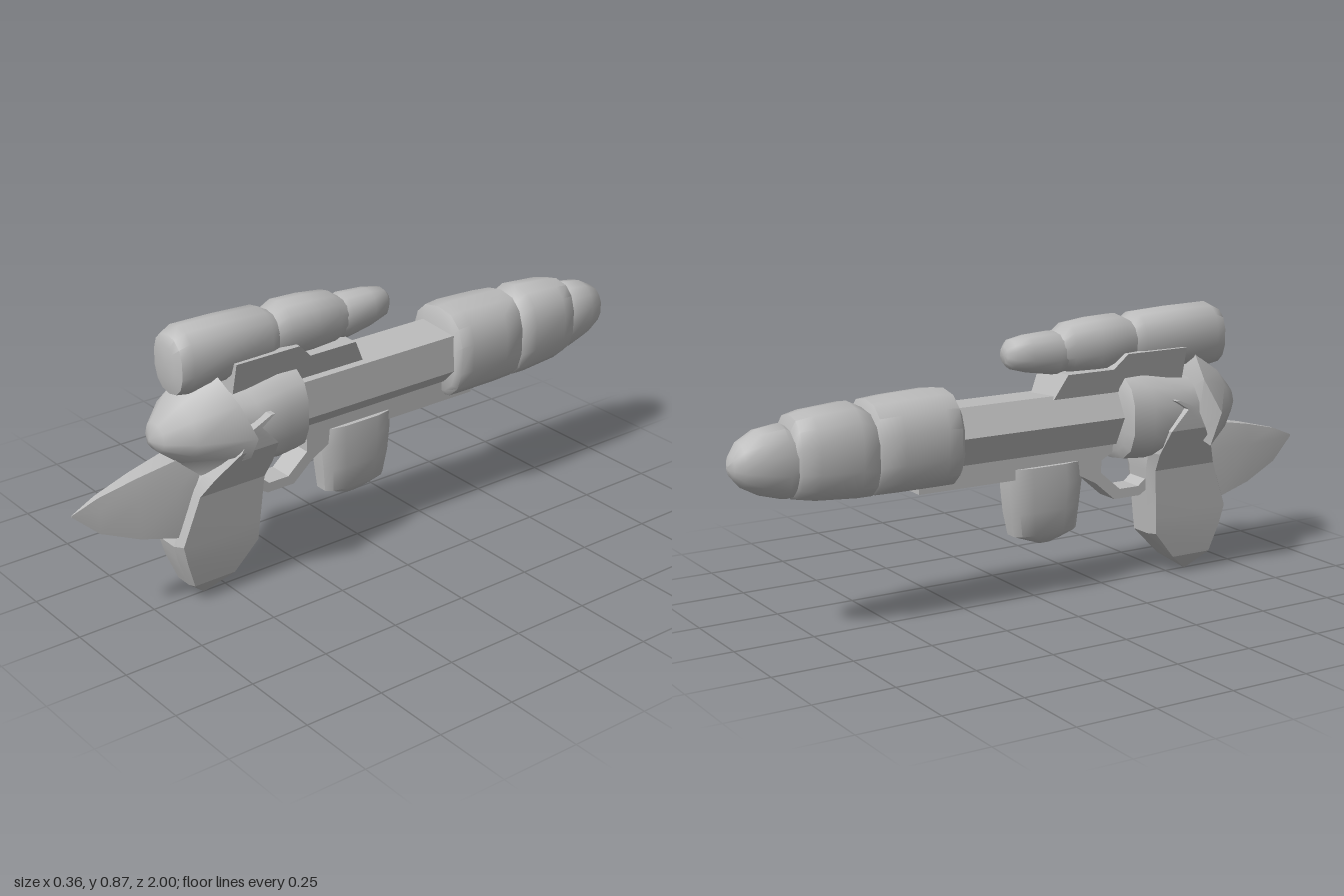
import * as THREE from 'three';
import { toCreasedNormals } from 'three/addons/utils/BufferGeometryUtils.js';

const grey = new THREE.MeshStandardMaterial({ color: 0xbcbcbc });
grey.name = 'plain grey';

// Skin a list of equal-length rings of [x, y, z] points and close both ends.
function loft(rings, crease) {
  const n = rings[0].length, pos = rings.flat(2);
  let idx = [];
  for (let r = 0; r < rings.length - 1; r++) {
    for (let i = 0; i < n; i++) {
      const a = r * n + i, b = r * n + (i + 1) % n;
      idx.push(a, b, b + n, a, b + n, a + n);
    }
  }
  [0, rings.length - 1].forEach((r, end) => {
    const c = pos.length / 3;
    for (let k = 0; k < 3; k++) pos.push(rings[r].reduce((s, p) => s + p[k], 0) / n);
    for (let i = 0; i < n; i++) {
      const a = r * n + i, b = r * n + (i + 1) % n;
      if (end) idx.push(c, a, b); else idx.push(c, b, a);
    }
  });
  // Turn the faces outward if the enclosed volume is negative.
  const v = i => new THREE.Vector3().fromArray(pos, i * 3);
  let volume = 0;
  for (let i = 0; i < idx.length; i += 3) {
    volume += v(idx[i]).dot(v(idx[i + 1]).cross(v(idx[i + 2])));
  }
  if (volume < 0) idx.reverse();
  const g = new THREE.BufferGeometry();
  g.setAttribute('position', new THREE.Float32BufferAttribute(pos, 3));
  g.setIndex(idx);
  return toCreasedNormals(g, crease);
}

// Rounded section: n points of a superellipse as [u, v] pairs.
function round(hu, hv, n, power) {
  const f = t => Math.sign(t) * Math.pow(Math.abs(t), power);
  return Array.from({ length: n }, (_, i) => {
    const a = (i + 0.5) / n * Math.PI * 2;
    return [hu * f(Math.cos(a)), hv * f(Math.sin(a))];
  });
}

// Rounded body along z from stations [z, yLow, yHigh, halfWidth].
function podGeometry(stations, power = 0.8, n = 14) {
  return loft(stations.map(([z, y0, y1, w]) =>
    round(w, (y1 - y0) / 2, n, power).map(([x, y]) => [x, y + (y0 + y1) / 2, z])), 0.85);
}

// Side outline of [z, y] points, extruded across the width.
function slab(points, halfWidth) {
  const shape = new THREE.Shape(points.map(p => new THREE.Vector2(...p)));
  const g = new THREE.ExtrudeGeometry(shape, { depth: halfWidth * 2, bevelEnabled: false });
  return g.translate(0, 0, -halfWidth).rotateY(-Math.PI / 2);
}

export function createModel() {
  const model = new THREE.Group();
  model.name = 'toyBlaster';
  const add = (name, geometry) => {
    const mesh = new THREE.Mesh(geometry, grey);
    mesh.name = name;
    model.add(mesh);
  };

  // Long sleeve in three overlapping, shrinking sections
  add('sleeveInner', podGeometry([
    [-0.30, 0.42, 0.66, 0.105], [-0.315, 0.40, 0.69, 0.12], [-0.36, 0.40, 0.695, 0.123],
    [-0.50, 0.40, 0.69, 0.12], [-0.57, 0.40, 0.685, 0.11], [-0.59, 0.42, 0.65, 0.09]]));
  add('sleeveMiddle', podGeometry([
    [-0.56, 0.42, 0.64, 0.09], [-0.58, 0.40, 0.66, 0.108], [-0.63, 0.40, 0.685, 0.113],
    [-0.76, 0.41, 0.675, 0.105], [-0.81, 0.42, 0.665, 0.09], [-0.83, 0.44, 0.62, 0.07]]));
  add('sleeveTip', podGeometry([
    [-0.80, 0.43, 0.62, 0.08], [-0.84, 0.425, 0.645, 0.085], [-0.91, 0.445, 0.635, 0.075],
    [-0.965, 0.475, 0.605, 0.055], [-0.99, 0.505, 0.57, 0.03], [-1.0, 0.53, 0.545, 0.008]], 0.9));

  // Faceted receiver bar
  const bar = [[0.09, 0.625], [-0.055, 0.635], [-0.10, 0.55], [-0.055, 0.46], [0.05, 0.46], [0.098, 0.51]];
  add('receiver', loft([0.30, -0.33].map(z => bar.map(([x, y]) => [x, y, z])), 0.1));

  // Underside rail that runs into the trigger guard
  add('railAndGuard', slab([
    [0.40, 0.33], [0.39, 0.295], [0.365, 0.28], [0.27, 0.28], [0.20, 0.34], [0.11, 0.388],
    [-0.42, 0.388], [-0.42, 0.41], [-0.31, 0.47], [0.265, 0.47], [0.26, 0.43], [0.22, 0.41],
    [0.22, 0.37], [0.29, 0.31], [0.36, 0.31], [0.385, 0.33]], 0.04));

  // Magazine below the receiver, stations [y, zLow, zHigh, halfWidth]
  const magazine = [[0.42, -0.11, 0.155, 0.055], [0.36, -0.108, 0.16, 0.058], [0.28, -0.10, 0.15, 0.055],
    [0.205, -0.085, 0.142, 0.045], [0.185, -0.03, 0.09, 0.03], [0.17, 0.01, 0.055, 0.012]];
  add('magazine', loft(magazine.map(([y, z0, z1, w]) =>
    round(w, (z1 - z0) / 2, 12, 0.6).map(([x, z]) => [x, y, z + (z0 + z1) / 2])), 0.7));

  // Bulging body behind the nose shell
  add('body', podGeometry([
    [0.265, 0.43, 0.65, 0.11], [0.28, 0.405, 0.68, 0.135], [0.35, 0.40, 0.68, 0.145],
    [0.45, 0.41, 0.66, 0.142], [0.56, 0.43, 0.65, 0.12]], 0.75));

  // Pointed nose shell with an uneven rim
  const rim = [[0.07, 0.715, 0.55], [0.15, 0.65, 0.53], [0.18, 0.545, 0.49], [0.155, 0.48, 0.50],
    [0.06, 0.42, 0.61], [-0.06, 0.42, 0.61], [-0.145, 0.435, 0.56], [-0.18, 0.545, 0.575],
    [-0.145, 0.65, 0.53], [-0.07, 0.715, 0.55]];
  const shrink = (s, z, mix) => rim.map(p => [p[0] * s, 0.545 + (p[1] - 0.545) * s, p[2] + (z - p[2]) * mix]);
  add('noseShell', loft([shrink(0.7, 0.52, 0.8), rim, shrink(0.62, 0.675, 0.85),
    shrink(0.28, 0.72, 1), shrink(0.02, 0.738, 1)], 0.8));

  // Leaf-shaped grip that flares around the body, stations [y, zLow, zHigh, halfWidth]
  const grip = [[0.002, 0.572, 0.577, 0.001], [0.06, 0.485, 0.645, 0.047], [0.15, 0.40, 0.682, 0.06],
    [0.21, 0.395, 0.698, 0.065], [0.36, 0.385, 0.64, 0.075], [0.42, 0.38, 0.605, 0.108],
    [0.50, 0.395, 0.54, 0.155], [0.565, 0.46, 0.50, 0.16], [0.595, 0.415, 0.43, 0.158]];
  add('grip', loft(grip.map(([y, z0, z1, w]) => {
    const d = (z1 - z0) * 0.06;
    return [[w, y, z0 + d], [w, y, z1 - d], [w * 0.6, y, z1], [-w * 0.6, y, z1],
      [-w, y, z1 - d], [-w, y, z0 + d], [-w * 0.6, y, z0], [w * 0.6, y, z0]];
  }), 0.3));

  // Front fin tapering to a point, stations [z, yTop, yBottom, topWidth, midWidth, bottomWidth]
  const fin = [[0.56, 0.48, 0.26, 0.04, 0.055, 0.046], [0.68, 0.478, 0.235, 0.036, 0.05, 0.046],
    [0.80, 0.455, 0.265, 0.024, 0.034, 0.032], [0.92, 0.425, 0.315, 0.01, 0.016, 0.014],
    [1.0, 0.392, 0.388, 0.001, 0.001, 0.001]];
  add('frontFin', loft(fin.map(([z, t, b, wt, wm, wb]) => {
    const m = b + (t - b) * 0.65;
    return [[wt, t, z], [wm, m, z], [wb, b, z], [-wb, b, z], [-wm, m, z], [-wt, t, z]];
  }), 0.3));

  // Scope saddle, slightly wider toward its top
  const mount = slab([[0.50, 0.745], [0.28, 0.745], [0.235, 0.70], [0.07, 0.70], [0.03, 0.625], [0.50, 0.625]], 1);
  const p = mount.attributes.position;
  for (let i = 0; i < p.count; i++) p.setX(i, p.getX(i) * (0.065 + (p.getY(i) - 0.625) * 0.24));
  mount.computeVertexNormals();
  add('scopeMount', mount);

  // Scope in three stepped sections
  add('scopeFront', podGeometry([
    [0.675, 0.71, 0.82, 0.045], [0.665, 0.67, 0.85, 0.073], [0.63, 0.665, 0.867, 0.083],
    [0.50, 0.675, 0.865, 0.083], [0.36, 0.685, 0.858, 0.08], [0.32, 0.70, 0.835, 0.065]], 0.85));
  add('scopeMiddle', podGeometry([
    [0.35, 0.70, 0.83, 0.065], [0.29, 0.69, 0.858, 0.08], [0.20, 0.685, 0.855, 0.08],
    [0.11, 0.69, 0.845, 0.07], [0.06, 0.71, 0.81, 0.055]], 0.85));
  add('scopeRear', podGeometry([
    [0.10, 0.70, 0.81, 0.058], [0.06, 0.69, 0.825, 0.064], [-0.03, 0.705, 0.82, 0.055],
    [-0.085, 0.72, 0.81, 0.043], [-0.105, 0.74, 0.79, 0.022]], 0.85));

  return model;
}
